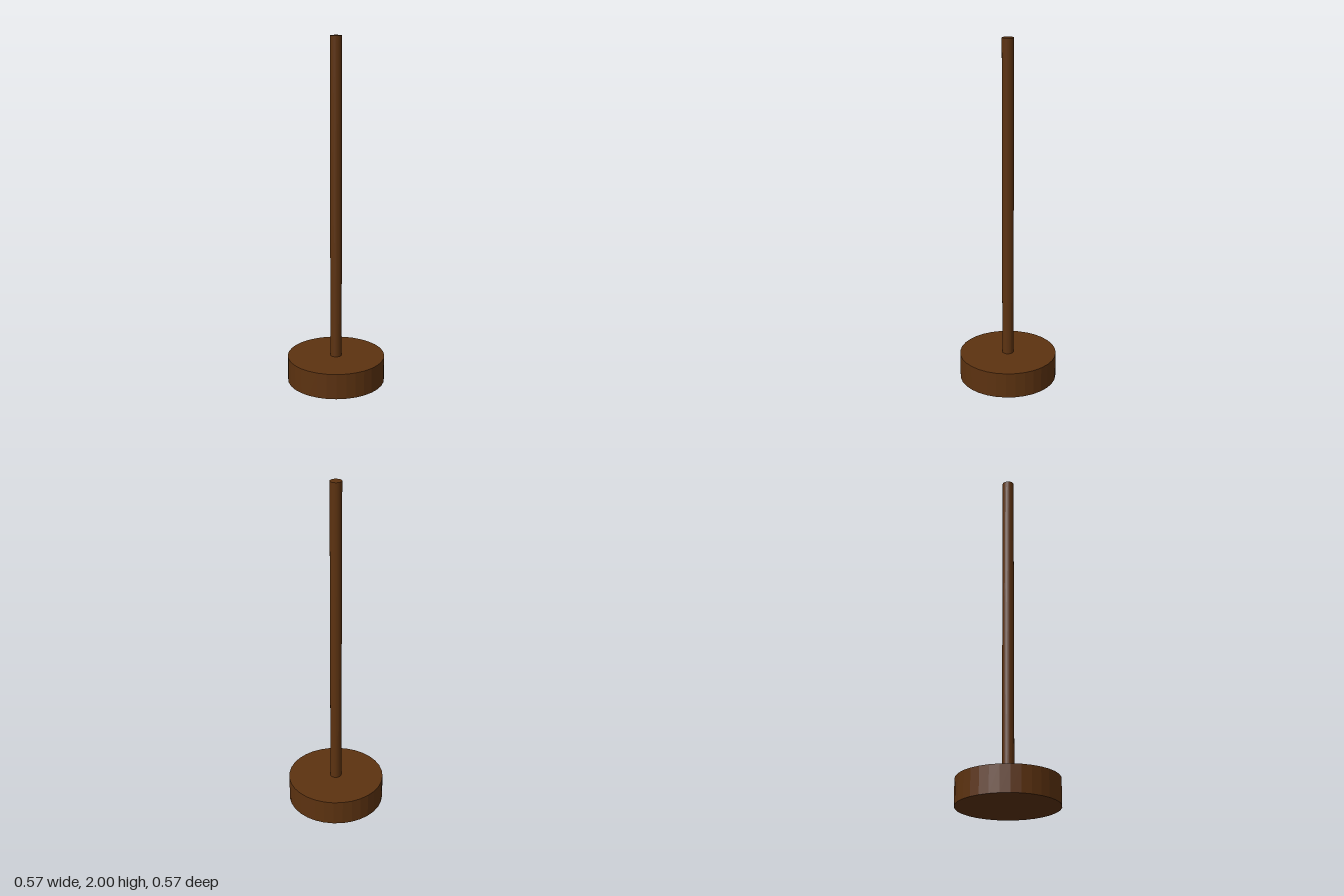
import * as THREE from 'three';

export function createModel() {
  const group = new THREE.Group();
  group.name = 'poleStand';
  const wood = new THREE.MeshStandardMaterial({ color: 0x5c3210, flatShading: true });

  // Upright cylinder spanning bottom..top
  const addCylinder = (name, radius, bottom, top) => {
    const mesh = new THREE.Mesh(
      new THREE.CylinderGeometry(radius, radius, top - bottom, 32), wood);
    mesh.name = name;
    mesh.position.y = (bottom + top) / 2;
    group.add(mesh);
  };

  // Heavy round foot
  addCylinder('base', 0.283, 0, 0.15);
  // Slim post standing on the foot
  addCylinder('pole', 0.033, 0.15, 2);

  return group;
}
